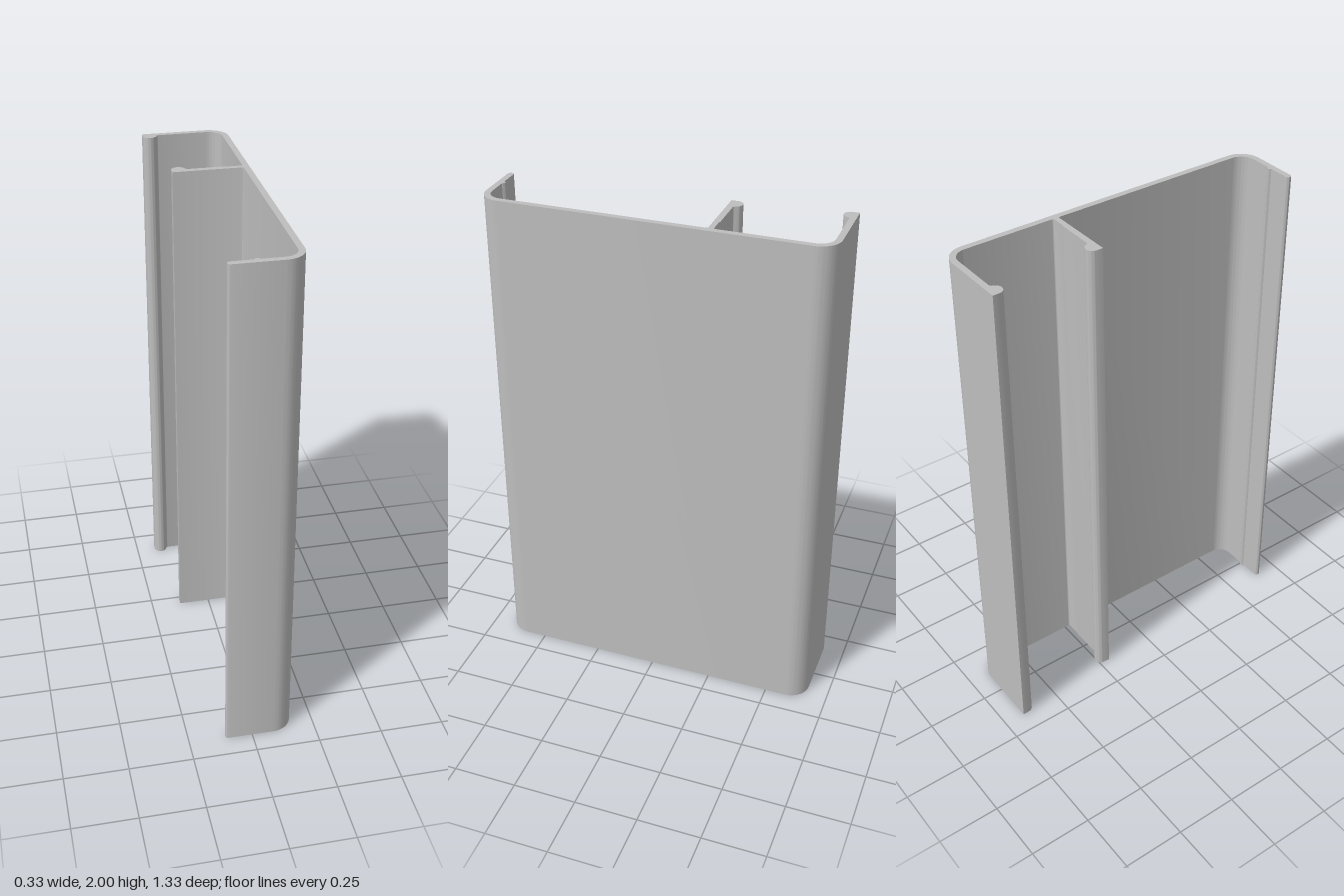
import * as THREE from 'three';
import { toCreasedNormals } from 'three/addons/utils/BufferGeometryUtils.js';

const HEIGHT = 2;
const PI = Math.PI;

// Cross-section seen from above; shape y equals -z
function channelProfile() {
  const s = new THREE.Shape();

  // Outer skin: front flange, rounded corners, side wall, rear flange
  s.moveTo(-0.094, -0.665);
  s.lineTo(0.086, -0.665);
  s.absarc(0.086, -0.585, 0.08, -PI / 2, 0, false);
  s.lineTo(0.166, 0.585);
  s.absarc(0.086, 0.585, 0.08, 0, PI / 2, false);
  s.lineTo(-0.168, 0.665);

  // Rounded lip on the rear flange
  s.absarc(-0.141, 0.64, 0.027, PI, 2 * PI - 0.35, false);
  s.quadraticCurveTo(-0.113, 0.641, -0.103, 0.641);

  // Inside of the rear corner and wall
  s.lineTo(0.086, 0.641);
  s.absarc(0.086, 0.585, 0.056, PI / 2, 0, true);
  s.lineTo(0.142, 0.234);

  // Middle web, with a rounded lip and filleted root
  s.quadraticCurveTo(0.142, 0.226, 0.134, 0.226);
  s.lineTo(0.083, 0.226);
  s.lineTo(0.075, 0.229);
  s.lineTo(-0.062, 0.229);
  s.quadraticCurveTo(-0.072, 0.229, -0.1 + 0.027 * Math.cos(0.35), 0.23 + 0.027 * Math.sin(0.35));
  s.absarc(-0.1, 0.23, 0.027, 0.35, PI, false);
  s.lineTo(-0.127, 0.205);
  s.lineTo(0.134, 0.205);
  s.quadraticCurveTo(0.142, 0.205, 0.142, 0.197);

  // Inside of the front corner
  s.lineTo(0.142, -0.585);
  s.absarc(0.086, -0.585, 0.056, 0, -PI / 2, true);

  // Front flange with a small ridge and a rounded tip
  s.lineTo(0.005, -0.641);
  s.quadraticCurveTo(-0.005, -0.622, -0.015, -0.641);
  s.lineTo(-0.094, -0.641);
  s.absarc(-0.094, -0.653, 0.012, PI / 2, 1.5 * PI, false);
  return s;
}

export function createModel() {
  const group = new THREE.Group();
  group.name = 'extrudedChannel';

  const aluminium = new THREE.MeshStandardMaterial({ color: 0xbebebe });
  aluminium.name = 'plain grey metal';

  // Sweep the section upward
  const geometry = new THREE.ExtrudeGeometry(channelProfile(), {
    depth: HEIGHT, bevelEnabled: false, curveSegments: 10,
  });
  geometry.rotateX(-PI / 2);

  const channel = new THREE.Mesh(toCreasedNormals(geometry, 0.5), aluminium);
  channel.name = 'channelSection';
  group.add(channel);
  return group;
}
